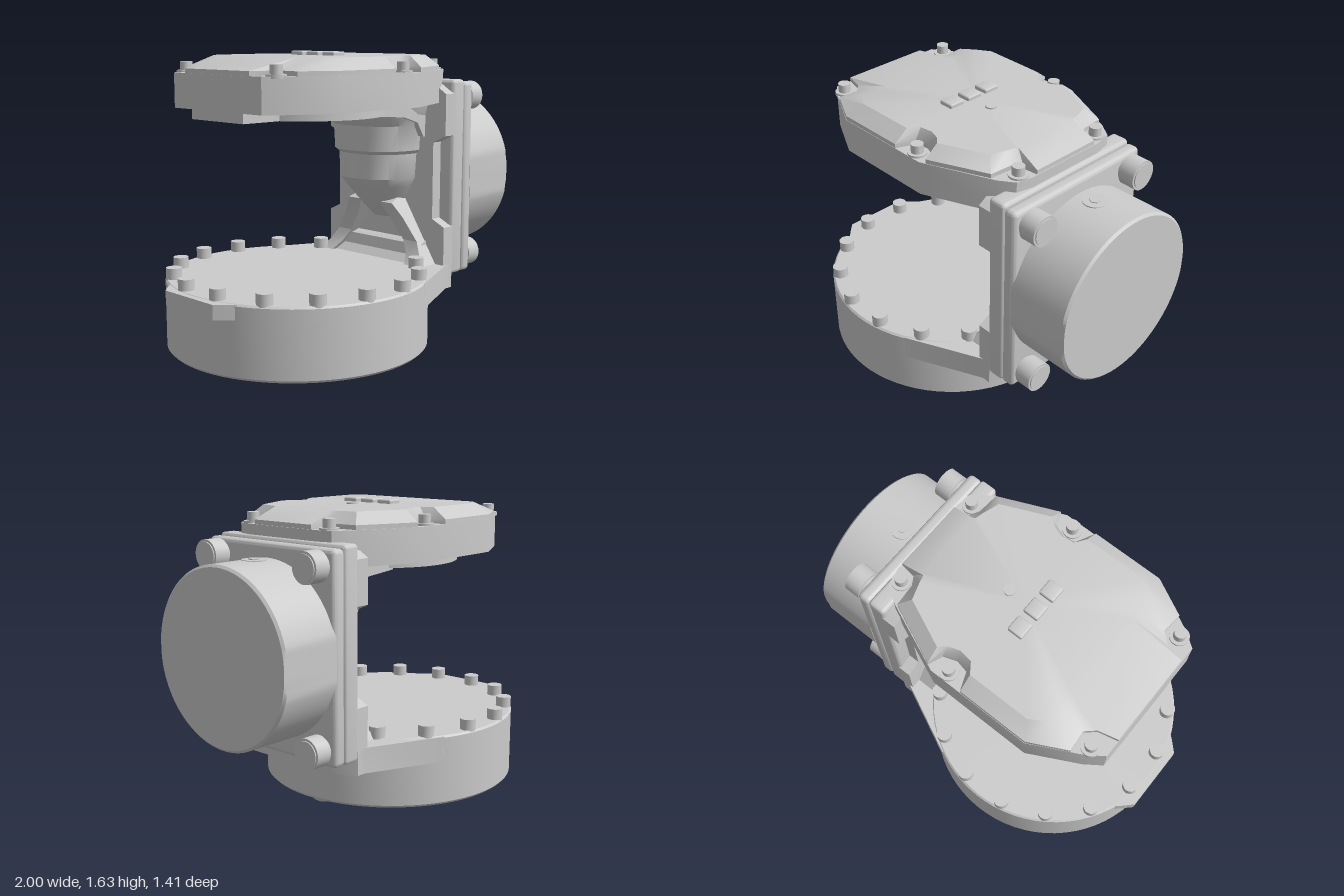
import * as THREE from 'three';
import { toCreasedNormals } from 'three/addons/utils/BufferGeometryUtils.js';
import { RoundedBoxGeometry } from 'three/addons/geometries/RoundedBoxGeometry.js';

const material = new THREE.MeshStandardMaterial({ color: 0xcccccc });

export function createModel() {
  const model = new THREE.Group();

  const add = (name, geometry, x = 0, y = 0, z = 0) => {
    const mesh = new THREE.Mesh(toCreasedNormals(geometry, 0.55), material);
    mesh.name = name;
    mesh.position.set(x, y, z);
    model.add(mesh);
    return mesh;
  };
  const extrude = (points, depth) => new THREE.ExtrudeGeometry(
    new THREE.Shape(points.map(p => new THREE.Vector2(...p))), { depth, bevelEnabled: false });
  // Slab from a half outline [x, z], mirrored across z
  const slab = (half, y0, y1) => {
    const outline = [...half, ...half.map(([x, z]) => [x, -z]).reverse()];
    return extrude(outline, y1 - y0).rotateX(-Math.PI / 2).translate(0, y0, 0);
  };
  // Side profile [x, y] extruded across z
  const sideProfile = (points, width, z = 0) => extrude(points, width).translate(0, 0, z - width / 2);
  const cylinder = (r, h, sides = 24) => new THREE.CylinderGeometry(r, r, h, sides);
  const cylinderX = (r, h, sides = 24) => cylinder(r, h, sides).rotateZ(-Math.PI / 2);
  // Skin over rings of equal length, listed bottom to top, closed at both ends
  const loft = (rings) => {
    const n = rings[0].length, position = rings.flat(2), index = [];
    for (let r = 0; r < rings.length - 1; r++) {
      for (let i = 0; i < n; i++) {
        const j = (i + 1) % n, a = r * n + i, b = r * n + j;
        index.push(a, b, b + n, a, b + n, a + n);
      }
    }
    [[0, -1], [rings.length - 1, 1]].forEach(([r, up]) => {
      const centre = [0, 1, 2].map(k => rings[r].reduce((s, p) => s + p[k], 0) / n);
      const c = position.length / 3;
      position.push(...centre);
      for (let i = 0; i < n; i++) {
        const a = r * n + i, b = r * n + (i + 1) % n;
        index.push(c, ...(up > 0 ? [a, b] : [b, a]));
      }
    });
    const g = new THREE.BufferGeometry();
    g.setAttribute('position', new THREE.Float32BufferAttribute(position, 3));
    g.setIndex(index);
    return g;
  };

  // Round base housing with a dished underside
  const baseX = -0.27;
  const baseProfile = [[0, 0.012], [0.47, 0.012], [0.5, 0.025], [0.585, 0.07], [0.69, 0.07],
    [0.705, 0.085], [0.705, 0.44], [0.695, 0.45], [0, 0.45]];
  add('baseHousing', new THREE.LatheGeometry(baseProfile.map(p => new THREE.Vector2(...p)), 72), baseX);
  add('baseTab', slab([[-1, 0.19], [-0.94, 0.25], [-0.7, 0.45]], 0.37, 0.448));
  add('baseWeb', slab([[-0.1, 0.6], [0.04, 0.634], [0.45, 0.445], [0.5, 0.445], [0.57, 0.32]], 0.31, 0.445));
  add('drainPlug', new THREE.SphereGeometry(0.075, 24, 12).scale(1, 0.45, 1), 0.27, 0.035);
  for (let i = 0; i < 4; i++) {
    const a = i * Math.PI / 2;
    add('undersideScrew', cylinder(0.025, 0.01, 16), baseX + 0.65 * Math.cos(a), 0.067, 0.65 * Math.sin(a));
  }

  // Ring of base bolts, open toward the wall
  for (let i = 0; i < 7; i++) {
    const a = THREE.MathUtils.degToRad(34.8 + 22.35 * i);
    [-1, 1].forEach(s => add('baseBolt', cylinder(0.042, 0.07),
      baseX + 0.66 * Math.cos(a), 0.473, s * 0.66 * Math.sin(a)));
  }

  // Upright wall with a pocket along each side
  add('wall', new RoundedBoxGeometry(0.1, 1.09, 0.89, 3, 0.02), 0.54, 0.93);
  const pocketed = [[-0.445, 0.44], [-0.445, 0.66], [-0.36, 0.7], [-0.36, 1.13], [-0.445, 1.17], [-0.445, 1.4], [-0.33, 1.47]];
  const wallOutline = [...pocketed, ...pocketed.map(([z, y]) => [-z, y]).reverse()];
  add('wallInnerFace', extrude(wallOutline, 0.08).rotateY(Math.PI / 2), 0.425);
  add('wallFoot', sideProfile([[0.3, 0.44], [0.36, 0.49], [0.38, 0.55], [0.43, 0.57], [0.55, 0.57], [0.55, 0.32], [0.43, 0.32]], 0.64));
  add('wallTopFillet', sideProfile([[0.06, 1.37], [0.06, 1.29], [0.25, 1.275], [0.36, 1.24], [0.41, 1.16],
    [0.5, 1.16], [0.57, 1.45], [0.54, 1.48], [0.4, 1.48]], 0.6));

  // Rounded bulge hanging under the arm
  const bulge = [[0.68, 0.38, 0.08], [0.74, 0.325, 0.13], [0.87, 0.2, 0.2], [0.92, 0.165, 0.23], [1.06, 0.165, 0.24],
    [1.08, 0.14, 0.26], [1.22, 0.135, 0.27], [1.27, 0.09, 0.3], [1.35, 0.05, 0.32]];
  add('bulge', loft(bulge.map(([y, left, half]) => Array.from({ length: 19 }, (_, i) => {
    const a = Math.PI * i / 18, c = Math.cos(a);
    return [0.47 - (0.47 - left) * Math.pow(Math.sin(a) + 1e-9, 0.75), y,
      -half * Math.sign(c) * Math.pow(Math.abs(c), 0.8)];
  }))));

  // Splayed ribs from the bulge down to the base corners
  [-1, 1].forEach(s => {
    const rib = sideProfile([[0.45, 0.84], [0.3, 0.78], [0.335, 0.7], [0.36, 0.57], [0.33, 0.5], [0.27, 0.44], [0.45, 0.44]], 0.1);
    const p = rib.attributes.position;
    for (let i = 0; i < p.count; i++) p.setZ(i, p.getZ(i) + s * (0.08 + (0.84 - p.getY(i)) * 0.65));
    rib.computeVertexNormals();
    add('rib', rib);
  });

  // Mounting flange and motor drum, the drum trimmed flush with the flange sides
  add('flange', new RoundedBoxGeometry(0.078, 1.075, 0.89, 3, 0.025), 0.626, 0.923);
  const drumProfile = [[0, 0.65], [0.46, 0.65], [0.46, 0.988], [0.447, 1], [0, 1]];
  const drum = new THREE.LatheGeometry(drumProfile.map(p => new THREE.Vector2(...p)), 96).rotateZ(-Math.PI / 2);
  const dp = drum.attributes.position;
  for (let i = 0; i < dp.count; i++) dp.setZ(i, THREE.MathUtils.clamp(dp.getZ(i), -0.445, 0.445));
  add('drum', drum, 0, 0.925);
  add('drumPlug', cylinder(0.062, 0.02), 0.76, 1.377);
  add('drumPlugScrew', cylinder(0.028, 0.012, 6), 0.76, 1.386);
  [-0.35, 0.35].forEach(z => [0.47, 1.378].forEach(y => {
    add('flangeBolt', cylinderX(0.068, 0.12), 0.715, y, z);
    add('flangeBoltHead', cylinderX(0.08, 0.09), 0.724, y, z);
  }));

  // Arm cover: solid lower tier, then a chamfered upper tier notched for the bolts
  add('armCover', slab([[-0.805, 0.34], [-0.72, 0.4], [-0.47, 0.53], [0.1, 0.53], [0.47, 0.375], [0.55, 0.32], [0.57, 0.23]], 1.35, 1.53));
  const notched = [[0.565, 0.2], [0.48, 0.21], [0.45, 0.26], [0.44, 0.38], [0.13, 0.515], [0.1, 0.44], [0.03, 0.415],
    [-0.04, 0.43], [-0.08, 0.528], [-0.47, 0.528], [-0.66, 0.43], [-0.65, 0.32], [-0.7, 0.275], [-0.803, 0.25]];
  const inset = [[0.43, 0.19], [0.42, 0.2], [0.41, 0.24], [0.38, 0.33], [0.13, 0.44], [0.09, 0.405], [0.03, 0.385],
    [-0.04, 0.395], [-0.08, 0.45], [-0.42, 0.45], [-0.5, 0.4], [-0.5, 0.3], [-0.5, 0.25], [-0.5, 0.22]];
  const ring = (half, y) => [...half.map(([x, z]) => [x, y, -z]), ...half.map(([x, z]) => [x, y, z]).reverse()];
  add('armCoverTop', loft([ring(notched, 1.52), ring(notched, 1.553), ring(inset, 1.612)]));
  [[-0.72, 0.35], [0.03, 0.48], [0.51, 0.27]].forEach(([x, z]) => [-1, 1].forEach(s => {
    add('coverBoltSeat', cylinder(0.05, 0.02), x, 1.53, s * z);
    add('coverBolt', cylinder(0.032, 0.06), x, 1.555, s * z);
  }));

  // Underside disc and end block of the arm
  add('armUndersideDisc', cylinder(0.42, 0.06, 64), -0.2, 1.33);
  add('armEndBlock', new THREE.BoxGeometry(0.3, 0.06, 0.4), -0.652, 1.33);

  // Small raised pads and a vent screw on top
  [-0.12, 0, 0.12].forEach(z => add('topPad', new RoundedBoxGeometry(0.085, 0.03, 0.09, 2, 0.008), -0.115, 1.618, z));
  add('ventScrew', cylinder(0.03, 0.012, 16), 0.045, 1.614);

  return model;
}
